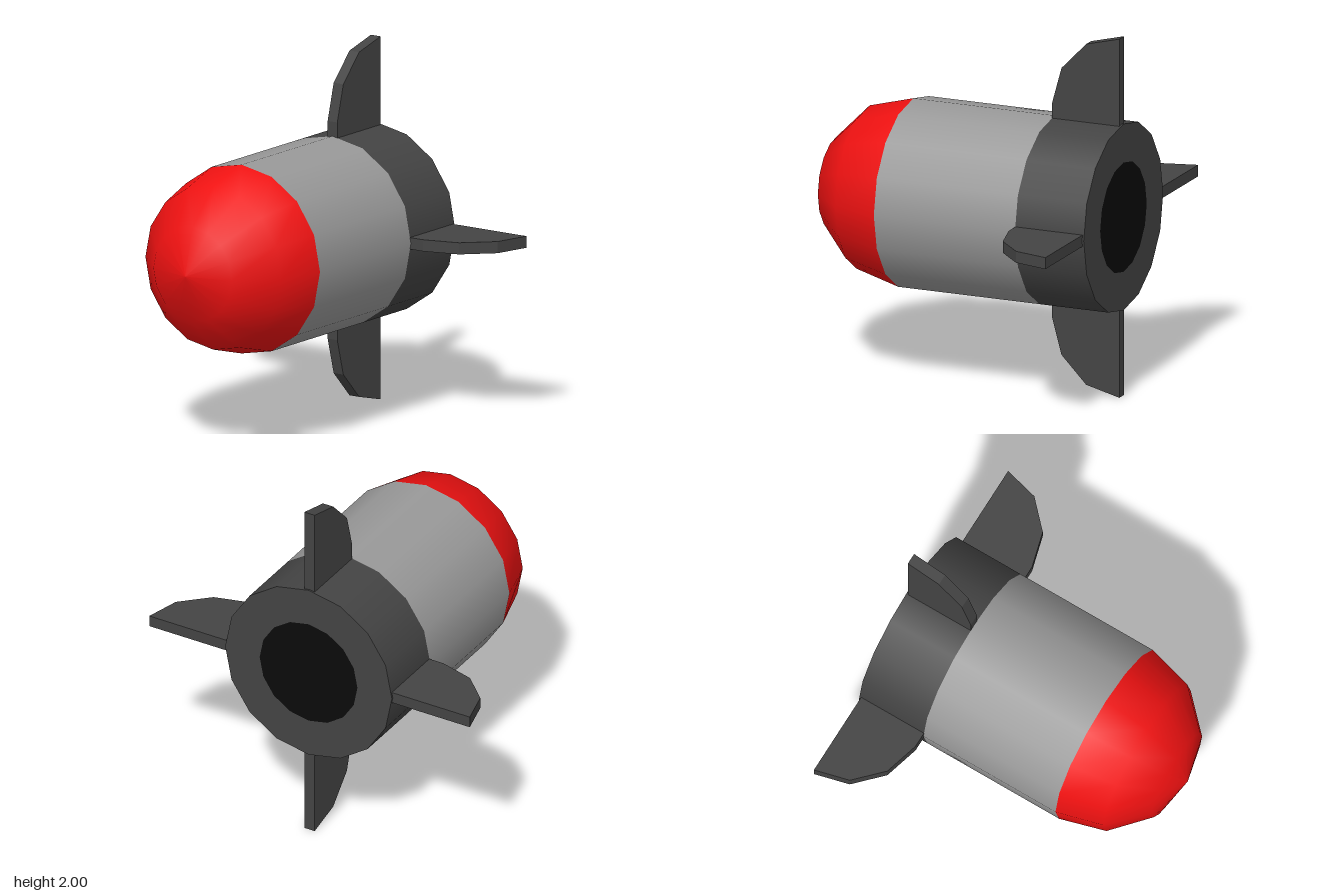
import * as THREE from 'three';

const SIDES = 16, R = 0.52, BACK = -0.875, HOLE = 0.305;

const paint = (color) => new THREE.MeshStandardMaterial({ color });

// Surface of revolution about the z axis; points are [radius, z], rear to front.
function turned(name, points, material) {
  const geometry = new THREE.LatheGeometry(points.map(([r, z]) => new THREE.Vector2(r, z)), SIDES);
  geometry.rotateX(Math.PI / 2);
  const mesh = new THREE.Mesh(geometry, material);
  mesh.name = name;
  return mesh;
}

export function createModel() {
  const model = new THREE.Group();
  model.name = 'rocket';
  const red = paint(0xee1111), grey = paint(0x999999), dark = paint(0x444444), black = paint(0x0a0a0a);

  // Rounded nose: a hemisphere in three bands
  const nose = [];
  for (let i = 0; i <= 3; i++) {
    const a = (i / 3) * Math.PI / 2;
    nose.push([R * Math.cos(a), 0.36 + 0.515 * Math.sin(a)]);
  }
  nose[3][0] = 0;
  model.add(turned('nose', nose, red));

  // Straight hull and darker tail band
  model.add(turned('body', [[R, -0.47], [R, 0.36]], grey));
  model.add(turned('tailBand', [[R, BACK], [R, -0.47]], dark));

  // Flat rear face with the exhaust opening
  model.add(turned('rearRim', [[HOLE, BACK], [R, BACK]], dark));
  model.add(turned('exhaust', [[0, BACK], [HOLE, BACK]], black));

  // Four fins, drawn as radius against z and extruded to their thickness
  const outline = [[0.46, -0.865], [1, -0.865], [0.95, -0.67], [0.8, -0.525], [0.6, -0.47], [0.46, -0.47]];
  const shape = new THREE.Shape(outline.map(([r, z]) => new THREE.Vector2(r, z)));
  const finGeometry = new THREE.ExtrudeGeometry(shape, { depth: 0.064, bevelEnabled: false });
  finGeometry.translate(0, 0, -0.032);
  finGeometry.rotateX(Math.PI / 2);
  ['leftFin', 'topFin', 'rightFin', 'bottomFin'].forEach((name, i) => {
    const fin = new THREE.Mesh(finGeometry, dark);
    fin.name = name;
    fin.rotation.z = i * Math.PI / 2;
    model.add(fin);
  });

  model.position.y = 1;
  const root = new THREE.Group();
  root.add(model);
  return root;
}
